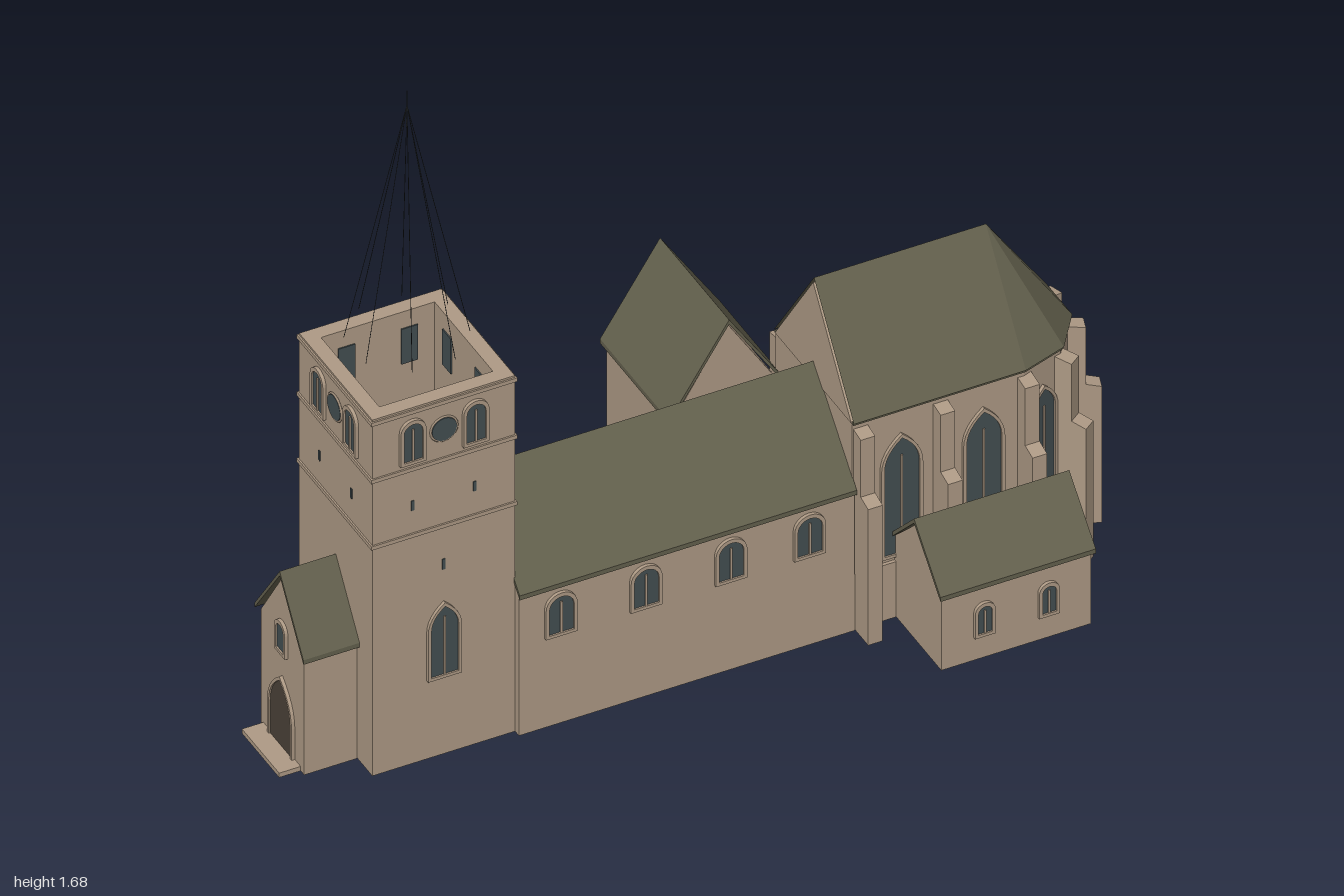
import * as THREE from 'three';

const mat = (name, color, extra = {}) => {
  const m = new THREE.MeshStandardMaterial({ color, ...extra });
  m.name = name;
  return m;
};

export function createModel() {
  const church = new THREE.Group();
  church.name = 'church';
  const stone = mat('stone', 0xae9a85);
  const slate = mat('roofSlate', 0x63604d, { side: THREE.DoubleSide });
  const glass = mat('darkGlass', 0x434e51);
  const brick = mat('redBrick', 0x9c573e);
  const wood = mat('doorWood', 0x4b4238);
  const iron = mat('spireIron', 0x34383a);

  const add = (name, geo, material, parent = church) => {
    const m = new THREE.Mesh(geo, material);
    m.name = name;
    parent.add(m);
    return m;
  };
  const box = (name, w, h, d, x, y, z, material, parent) =>
    add(name, new THREE.BoxGeometry(w, h, d).translate(x, y, z), material, parent);

  // Extrudes a profile along x (points are [z, y]) or along z (points are [x, y])
  const prism = (pts, axis, from, to) => {
    const s = axis === 'x' ? -1 : 1;
    const shape = new THREE.Shape(pts.map(([a, b]) => new THREE.Vector2(s * a, b)));
    const g = new THREE.ExtrudeGeometry(shape, { depth: to - from, bevelEnabled: false }).translate(0, 0, from);
    return axis === 'x' ? g.rotateY(Math.PI / 2) : g;
  };
  // Roof skin of constant thickness following a line of points
  const roof = (name, pts, axis, from, to) => {
    const under = pts.map(([a, b]) => [a, b - 0.012]).reverse();
    return add(name, prism([...pts, ...under], axis, from, to), slate);
  };
  // Hollow walls, open below, with a solid slab closing each end
  const walls = (name, pts, axis, from, to) => {
    const t = 0.025;
    const as = pts.map((p) => p[0]), lo = Math.min(...as), hi = Math.max(...as);
    const mid = (lo + hi) / 2, k = 1 - (2 * t) / (hi - lo);
    const inner = pts.map(([a, b]) => [mid + (a - mid) * k, b > 0 ? b - t : 0]).reverse();
    const g = new THREE.Group();
    g.name = name;
    church.add(g);
    add('sides', prism([...pts, ...inner], axis, from + t, to - t), stone, g);
    add('endWall', prism(pts, axis, from, from + t), stone, g);
    add('endWall', prism(pts, axis, to - t, to), stone, g);
  };
  // Extrudes a plan of [x, z] points upwards; the hole runs the opposite way round
  const plan = (pts, y0, y1, hole) => {
    const v = (p) => p.map(([x, z]) => new THREE.Vector2(x, -z));
    const shape = new THREE.Shape(v(pts));
    if (hole) shape.holes.push(new THREE.Path(v(hole).reverse()));
    return new THREE.ExtrudeGeometry(shape, { depth: y1 - y0, bevelEnabled: false })
      .rotateX(-Math.PI / 2).translate(0, y0, 0);
  };

  // Arch outline, round or pointed
  const arch = (T, w, y0, y1, pointed) => {
    const p = new T(), r = w / 2, spring = y1 - (pointed ? w * 0.9 : r);
    p.moveTo(-r, y0).lineTo(r, y0).lineTo(r, spring);
    if (pointed) {
      p.quadraticCurveTo(r, spring + w * 0.5, 0, y1);
      p.quadraticCurveTo(-r, spring + w * 0.5, -r, spring);
    } else p.absarc(0, spring, r, 0, Math.PI, false);
    p.closePath();
    return p;
  };
  const extrude = (shape, depth) => new THREE.ExtrudeGeometry(shape, { depth, bevelEnabled: false, curveSegments: 6 });

  // Opening with glass, stone surround and optional mullion, facing local +z
  const opening = (name, x, z, turn, w, y0, y1, { pointed = false, fill = glass, mullion = false, parent = church } = {}) => {
    const g = new THREE.Group();
    g.name = name;
    g.position.set(x, 0, z);
    g.rotation.y = turn;
    parent.add(g);
    add('pane', extrude(arch(THREE.Shape, w, y0, y1, pointed), 0.004), fill, g);
    const rim = arch(THREE.Shape, w + 0.016, y0 - 0.008, y1 + 0.01, pointed);
    rim.holes.push(arch(THREE.Path, w, y0, y1, pointed));
    add('surround', extrude(rim, 0.008), stone, g);
    if (mullion) box('mullion', 0.005, (y1 - y0) * 0.85, 0.007, 0, y0 + (y1 - y0) * 0.425, 0.0035, stone, g);
  };

  // Tower: open square shaft with string courses
  const TX = -0.6475, TZ = 0.035, TH = 0.172;
  const square = (h) => [[TX - h, TZ - h], [TX + h, TZ - h], [TX + h, TZ + h], [TX - h, TZ + h]];
  add('towerShaft', plan(square(TH), 0, 0.965, square(0.137)), stone);
  for (const y of [0.615, 0.795, 0.95]) add('towerStringCourse', plan(square(TH + 0.004), y, y + 0.01, square(TH - 0.01)), stone);
  for (let k = 0; k < 4; k++) {
    const side = new THREE.Group();
    side.name = 'towerSide';
    side.position.set(TX, 0, TZ);
    side.rotation.y = k * Math.PI / 2;
    church.add(side);
    for (const s of [-1, 1]) {
      opening('belfryWindow', s * 0.076, TH, 0, 0.046, 0.825, 0.925, { parent: side, mullion: true });
      box('belfryInnerPane', 0.04, 0.095, 0.004, s * 0.076, 0.873, 0.136, glass, side);
      box('slit', 0.007, 0.026, 0.004, s * 0.075, 0.7, TH, glass, side);
    }
    add('clockFace', new THREE.CylinderGeometry(0.03, 0.03, 0.006, 20).rotateX(Math.PI / 2).translate(0, 0.883, TH + 0.002), glass, side);
    add('clockRim', new THREE.TorusGeometry(0.032, 0.003, 4, 20).translate(0, 0.883, TH + 0.002), stone, side);
    if (k % 2 === 0) {
      box('slit', 0.007, 0.028, 0.004, 0, 0.515, TH, glass, side);
      opening('towerWindow', 0, TH, 0, 0.066, 0.22, 0.405, { parent: side, pointed: true, mullion: true });
    }
  }

  // Spire: eight thin ribs meeting at a finial
  const apex = new THREE.Vector3(TX, 1.64, TZ);
  for (let i = 0; i < 8; i++) {
    const a = (i + 0.5) * Math.PI / 4;
    const foot = new THREE.Vector3(TX + 0.136 * Math.cos(a), 1.02, TZ + 0.136 * Math.sin(a));
    add('spireRib', new THREE.TubeGeometry(new THREE.LineCurve3(foot, apex), 1, 0.0009, 3), iron);
  }
  add('finial', new THREE.CylinderGeometry(0.001, 0.0015, 0.05, 4).translate(TX, 1.655, TZ), iron);

  // Nave with a lower aisle at the back
  walls('naveWalls', [[0.225, 0], [0.225, 0.375], [0.035, 0.583], [-0.165, 0.368], [-0.305, 0.243], [-0.305, 0]], 'x', -0.475, 0.335);
  roof('naveRoof', [[0.235, 0.387], [0.035, 0.602], [-0.165, 0.385], [-0.315, 0.252]], 'x', -0.478, 0.336);
  for (const x of [-0.375, -0.17, 0.035, 0.225]) opening('naveWindow', x, 0.225, 0, 0.06, 0.25, 0.348, { mullion: true });
  for (const x of [-0.34, -0.11]) opening('aisleWindow', x, -0.305, Math.PI, 0.06, 0.09, 0.21, { mullion: true });
  opening('aisleDoor', -0.235, -0.305, Math.PI, 0.06, 0.008, 0.085, { fill: wood });

  // Transept with brick gable
  walls('transeptWalls', [[0.075, 0], [0.075, 0.418], [0.21, 0.633], [0.345, 0.418], [0.345, 0]], 'z', -0.435, -0.125);
  roof('transeptRoof', [[0.065, 0.427], [0.21, 0.65], [0.355, 0.427]], 'z', -0.445, -0.12);
  add('brickGable', prism([[0.075, 0.418], [0.345, 0.418], [0.21, 0.634]], 'z', -0.44, -0.434), brick);
  opening('transeptWindow', 0.21, -0.435, Math.PI, 0.14, 0.07, 0.34, { pointed: true, mullion: true });

  // Choir ending in a five-sided apse
  const CX = 0.75, CZ = 0.035, CR = 0.18, W = 0.335;
  const angles = [90, 54, 18, -18, -54, -90].map((d) => d * Math.PI / 180);
  const choirPlan = (r, w = W) => [[w, CZ + r], ...angles.map((a) => [CX + r * Math.cos(a), CZ + r * Math.sin(a)]), [w, CZ - r]];
  const choirInside = choirPlan(CR - 0.025, W + 0.025);
  add('choirWalls', plan(choirPlan(CR), 0, 0.553, choirInside), stone);
  add('choirPlinth', plan(choirPlan(CR + 0.008), 0, 0.15, choirInside), stone);
  add('choirEaves', plan(choirPlan(0.186), 0.552, 0.558), slate);
  add('choirGable', prism([[CZ + 0.18, 0.555], [CZ - 0.18, 0.555], [CZ, 0.815]], 'x', 0.333, 0.36), stone);

  // Choir roof: two slopes and a fan over the apse
  const eave = choirPlan(0.188).map(([x, z]) => [x, 0.558, z]);
  const A = [W, 0.827, CZ], B = [CX, 0.827, CZ], n = eave.length;
  const tris = [eave[0], eave[1], B, eave[0], B, A, eave[n - 2], eave[n - 1], A, eave[n - 2], A, B];
  for (let i = 1; i < n - 2; i++) tris.push(eave[i], eave[i + 1], B);
  const roofGeo = new THREE.BufferGeometry();
  roofGeo.setAttribute('position', new THREE.Float32BufferAttribute(tris.flat(), 3));
  roofGeo.computeVertexNormals();
  add('choirRoof', roofGeo, slate);

  // Stepped buttresses
  const buttressGeo = prism([[-0.01, 0], [0.07, 0], [0.07, 0.368], [0.035, 0.378], [0.035, 0.532], [-0.01, 0.54]], 'x', -0.0175, 0.0175);
  const buttress = (x, z, turn) => {
    const b = add('buttress', buttressGeo, stone);
    b.position.set(x, 0, z);
    b.rotation.y = turn;
  };
  for (const s of [1, -1]) {
    const turn = s > 0 ? 0 : Math.PI;
    for (const x of [0.355, 0.548, 0.752]) buttress(x, CZ + s * CR, turn);
    for (const x of [0.452, 0.65]) opening('choirWindow', x, CZ + s * CR, turn, 0.085, 0.17, 0.48, { pointed: true, mullion: true });
  }
  for (const a of angles.slice(1, 5)) buttress(CX + CR * Math.cos(a), CZ + CR * Math.sin(a), Math.PI / 2 - a);
  const inner = CR * Math.cos(Math.PI / 10);
  for (let k = -2; k <= 2; k++) {
    const a = k * Math.PI / 5;
    opening('apseWindow', CX + inner * Math.cos(a), CZ + inner * Math.sin(a), Math.PI / 2 - a, 0.064, 0.168, 0.475, { pointed: true, mullion: true });
  }

  // Sacristy on the front of the choir
  walls('sacristyWalls', [[0.2, 0], [0.2, 0.2], [0.32, 0.318], [0.435, 0.197], [0.435, 0]], 'x', 0.437, 0.798);
  roof('sacristyRoof', [[0.445, 0.207], [0.32, 0.335], [0.22, 0.232]], 'x', 0.43, 0.805);
  for (const x of [0.54, 0.695]) opening('sacristyWindow', x, 0.435, 0, 0.034, 0.07, 0.142, { mullion: true });

  // West porch with door and step
  walls('porchWalls', [[0.137, 0], [0.137, 0.31], [0.035, 0.466], [-0.067, 0.31], [-0.067, 0]], 'x', -0.948, -0.82);
  roof('porchRoof', [[0.147, 0.32], [0.035, 0.485], [-0.082, 0.32]], 'x', -0.955, -0.818);
  opening('porchDoor', -0.948, 0.035, -Math.PI / 2, 0.1, 0.012, 0.19, { pointed: true, fill: wood });
  opening('porchWindow', -0.948, 0.035, -Math.PI / 2, 0.035, 0.27, 0.34);
  box('porchStep', 0.055, 0.012, 0.175, -0.9725, 0.006, 0.033, stone);

  return church;
}
